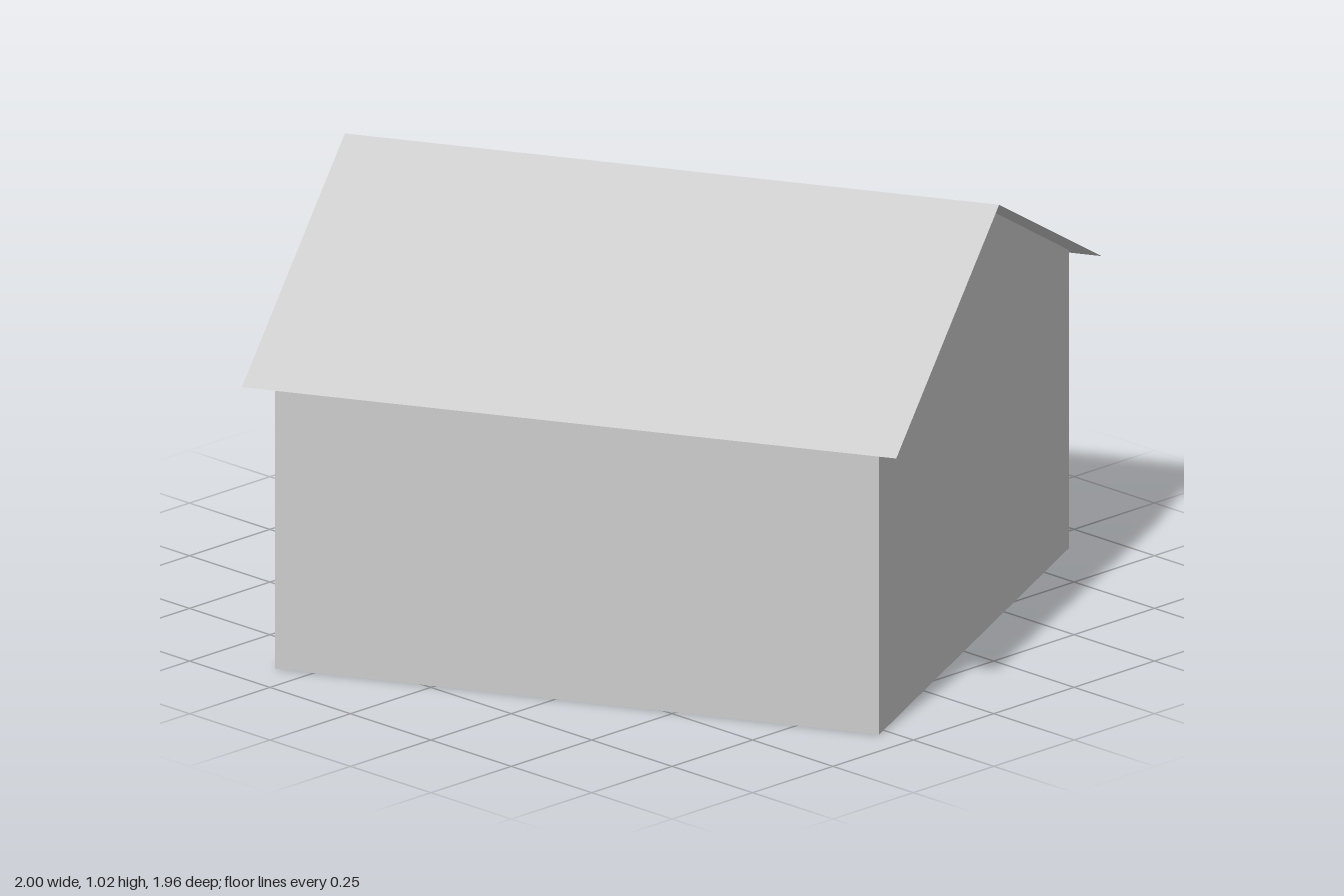
import * as THREE from 'three';

// Main dimensions (half sizes along the ridge and across it)
const WALL_L = 0.70, WALL_W = 0.66, WALL_H = 0.693;
const ROOF_L = 0.758, ROOF_W = 0.716, EAVE_Y = 0.667, RIDGE_Y = 1.022;

export function createModel() {
  const model = new THREE.Group();
  const grey = new THREE.MeshStandardMaterial({ color: 0xcccccc, side: THREE.DoubleSide });
  grey.name = 'light grey';

  const house = new THREE.Group();
  house.name = 'house';
  house.rotation.y = Math.atan2(1, 2); // the house stands turned on its plot
  model.add(house);

  const add = (name, geometry) => {
    const mesh = new THREE.Mesh(geometry, grey);
    mesh.name = name;
    house.add(mesh);
    return mesh;
  };

  // Walls and ceiling: a hollow box without its floor
  const box = new THREE.BoxGeometry(WALL_L * 2, WALL_H, WALL_W * 2);
  const index = Array.from(box.index.array);
  index.splice(18, 6); // remove the bottom face
  box.setIndex(index);
  box.clearGroups();
  box.translate(0, WALL_H / 2, 0);
  add('walls', box);

  // Triangular gable over each end wall
  const triangle = new THREE.Shape([
    new THREE.Vector2(-WALL_W, WALL_H),
    new THREE.Vector2(WALL_W, WALL_H),
    new THREE.Vector2(0, RIDGE_Y),
  ]);
  for (const side of [1, -1]) {
    const gable = add(side > 0 ? 'leftGable' : 'rightGable', new THREE.ShapeGeometry(triangle));
    gable.position.x = side * WALL_L;
    gable.rotation.y = side * Math.PI / 2;
  }

  // Two thin roof slopes with overhanging eaves
  const rise = RIDGE_Y - EAVE_Y;
  for (const side of [1, -1]) {
    const slope = new THREE.PlaneGeometry(ROOF_L * 2, Math.hypot(rise, ROOF_W));
    slope.rotateX(-Math.atan2(ROOF_W, rise));
    slope.translate(0, (RIDGE_Y + EAVE_Y) / 2, ROOF_W / 2);
    if (side < 0) slope.rotateY(Math.PI);
    add(side > 0 ? 'frontRoofSlope' : 'backRoofSlope', slope);
  }

  return model;
}
